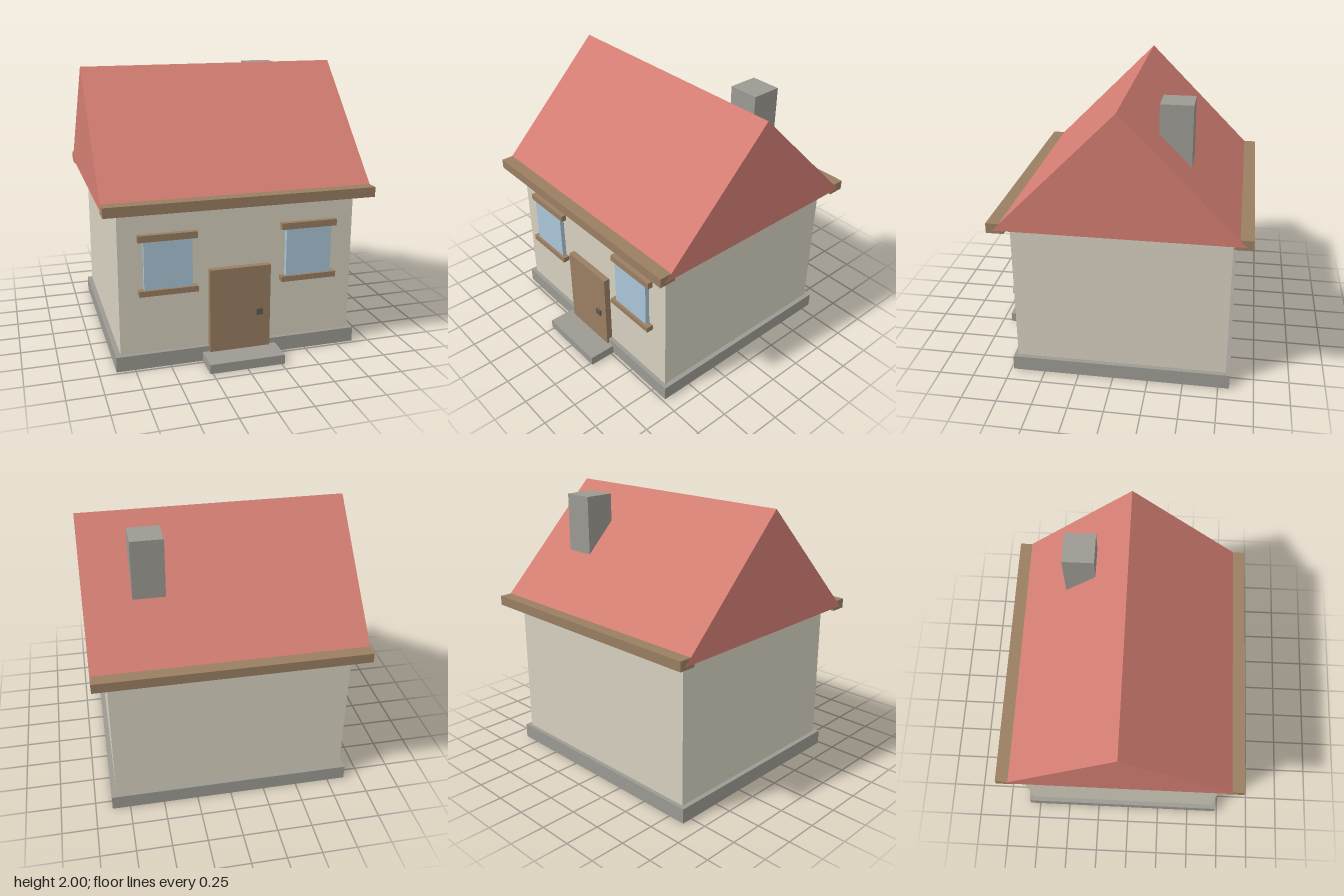
import * as THREE from 'three';

const mat = (color) => new THREE.MeshStandardMaterial({ color, flatShading: true });

export function createModel() {
  const house = new THREE.Group();
  house.name = 'house';
  const wall = mat(0xd6d0bf), stone = mat(0x9c9a93), wood = mat(0x9a7f62);
  const tile = mat(0xd27d72), glass = mat(0xabc6d8), metal = mat(0x645a4c);

  // Box given by its extents along each axis
  const box = (name, material, [x0, x1], [y0, y1], [z0, z1], parent = house) => {
    const mesh = new THREE.Mesh(new THREE.BoxGeometry(x1 - x0, y1 - y0, z1 - z0), material);
    mesh.position.set((x0 + x1) / 2, (y0 + y1) / 2, (z0 + z1) / 2);
    mesh.name = name;
    parent.add(mesh);
    return mesh;
  };

  // Body; the foundation is a hair above the wall bottom
  box('walls', wall, [-0.845, 0.845], [0, 1.16], [-0.8, 0.7]);
  box('foundation', stone, [-0.88, 0.88], [0.002, 0.11], [-0.83, 0.73]);
  box('doorstep', stone, [-0.27, 0.27], [0.002, 0.07], [0.7, 0.93]);

  // Gable roof: triangular prism along x
  const gable = new THREE.Shape([
    new THREE.Vector2(-0.84, 1.155),
    new THREE.Vector2(0.84, 1.155),
    new THREE.Vector2(0, 2),
  ]);
  const roofGeometry = new THREE.ExtrudeGeometry(gable, { depth: 1.9, bevelEnabled: false });
  roofGeometry.translate(0, 0, -0.95).rotateY(Math.PI / 2);
  const roof = new THREE.Mesh(roofGeometry, tile);
  roof.position.z = -0.05;
  roof.name = 'roof';
  house.add(roof);

  // Eave boards along front and back
  box('frontEave', wood, [-0.949, 0.949], [1.135, 1.205], [0.71, 0.83]);
  box('backEave', wood, [-0.949, 0.949], [1.135, 1.205], [-0.93, -0.81]);

  box('chimney', stone, [0.395, 0.62], [1.4, 1.97], [-0.5, -0.28]);

  // Door with a square handle
  box('door', wood, [-0.22, 0.22], [0, 0.68], [0.69, 0.747]);
  box('doorHandle', metal, [0.116, 0.163], [0.318, 0.363], [0.74, 0.762]);

  // Two windows, each with lintel and sill
  for (const side of [-1, 1]) {
    const windowGroup = new THREE.Group();
    windowGroup.name = side > 0 ? 'leftWindow' : 'rightWindow';
    windowGroup.position.x = side * 0.507;
    box('pane', glass, [-0.168, 0.168], [0.575, 0.925], [0.69, 0.732], windowGroup);
    box('lintel', wood, [-0.205, 0.205], [0.92, 0.967], [0.69, 0.738], windowGroup);
    box('sill', wood, [-0.205, 0.205], [0.54, 0.58], [0.69, 0.75], windowGroup);
    house.add(windowGroup);
  }
  return house;
}
